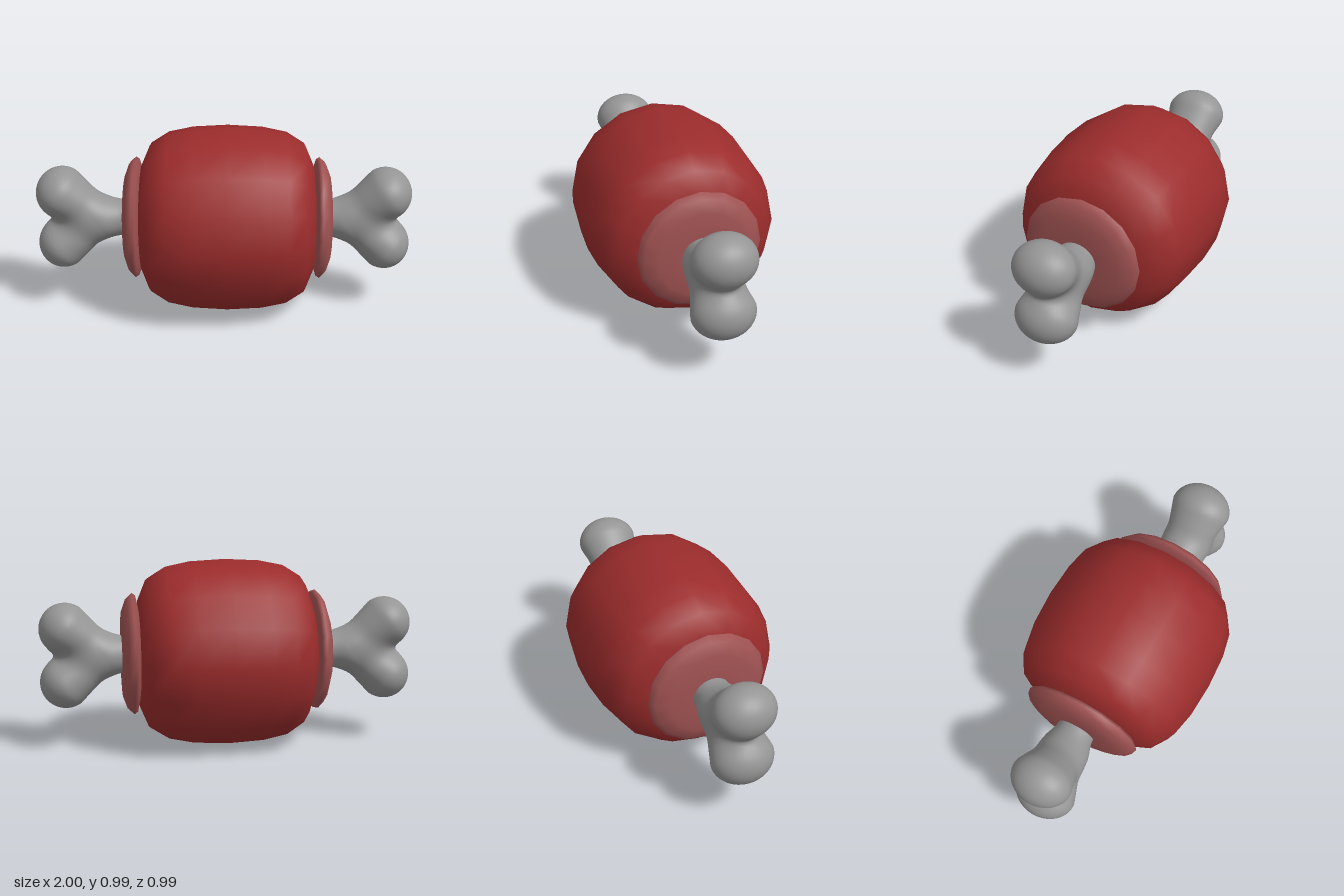
import * as THREE from 'three';
import { mergeVertices } from 'three/addons/utils/BufferGeometryUtils.js';

const SIDES = 16;

// Lathe around the x axis from [axial, radius] points, ordered along +x
function latheX(points) {
  const g = new THREE.LatheGeometry(points.map(([a, r]) => new THREE.Vector2(r, a)), SIDES);
  return g.rotateZ(-Math.PI / 2);
}

const smoothMin = (a, b, k) => {
  const h = Math.max(k - Math.abs(a - b), 0) / k;
  return Math.min(a, b) - h * h * k * 0.25;
};

// Distance to a tapered round limb lying in the xy plane, widened along z
function limb(p, ax, ay, ra, bx, by, rb, widen) {
  const dx = bx - ax, dy = by - ay;
  const t = THREE.MathUtils.clamp(((p.x - ax) * dx + (p.y - ay) * dy) / (dx * dx + dy * dy), 0, 1);
  return Math.hypot(p.x - ax - t * dx, p.y - ay - t * dy, p.z / widen) - (ra + (rb - ra) * t);
}

// Shaft that forks into two knobs, blended softly (y measured from the bone's axis)
function boneField(p) {
  const shaft = limb(p, 0.5, 0, 0.097, 0.72, 0, 0.097, 1.04);
  const upper = limb(p, 0.66, 0, 0.085, 0.863, 0.142, 0.137, 1.2);
  const lower = limb(p, 0.66, 0, 0.085, 0.863, -0.142, 0.137, 1.2);
  return smoothMin(smoothMin(upper, lower, 0.09), shaft, 0.05);
}

// Sphere whose vertices are pushed outwards onto the bone's surface
function boneGeometry() {
  let g = new THREE.IcosahedronGeometry(1, 18);
  g.deleteAttribute('normal');
  g.deleteAttribute('uv');
  g = mergeVertices(g, 1e-4);
  const pos = g.attributes.position;
  const centre = new THREE.Vector3(0.76, 0, 0);
  const dir = new THREE.Vector3(), p = new THREE.Vector3();
  for (let i = 0; i < pos.count; i++) {
    dir.fromBufferAttribute(pos, i).normalize();
    let near = 0, far = 0.6;
    for (let s = 0; s < 22; s++) {
      const mid = (near + far) / 2;
      p.copy(centre).addScaledVector(dir, mid);
      if (boneField(p) < 0) near = mid; else far = mid;
    }
    p.copy(centre).addScaledVector(dir, near);
    pos.setXYZ(i, p.x, p.y, p.z);
  }
  g.computeVertexNormals();
  return g;
}

export function createModel() {
  const model = new THREE.Group();
  model.name = 'meatOnBone';

  const meatMat = new THREE.MeshStandardMaterial({ color: 0x9c2c2c });
  const cutMat = new THREE.MeshStandardMaterial({ color: 0xa05252 });
  const boneMat = new THREE.MeshStandardMaterial({ color: 0x959595 });

  function add(name, geometry, material, x, turned) {
    const mesh = new THREE.Mesh(geometry, material);
    mesh.name = name;
    mesh.position.set(x, 0.5, 0);
    if (turned) mesh.rotation.y = Math.PI;
    model.add(mesh);
  }

  // Barrel-shaped meat, same profile towards both ends
  const half = [[0.468, 0], [0.465, 0.2], [0.456, 0.29], [0.41, 0.4], [0.315, 0.46], [0.185, 0.487]];
  const profile = [
    ...half.map(([a, r]) => [-a, r]),
    [0, 0.497],
    ...half.slice().reverse(),
  ];
  add('meat', latheX(profile), meatMat, 0.02, false);

  // Bulging cut faces and forked bone ends, one of each per side
  const cut = latheX([
    [0.45, 0], [0.457, 0.24], [0.473, 0.312], [0.492, 0.325],
    [0.522, 0.297], [0.546, 0.23], [0.55, 0.12], [0.55, 0],
  ]);
  const bone = boneGeometry();
  for (const [side, turned] of [['left', false], ['right', true]]) {
    add(side + 'CutFace', cut, cutMat, 0.02, turned);
    add(side + 'BoneEnd', bone, boneMat, 0, turned);
  }
  return model;
}
